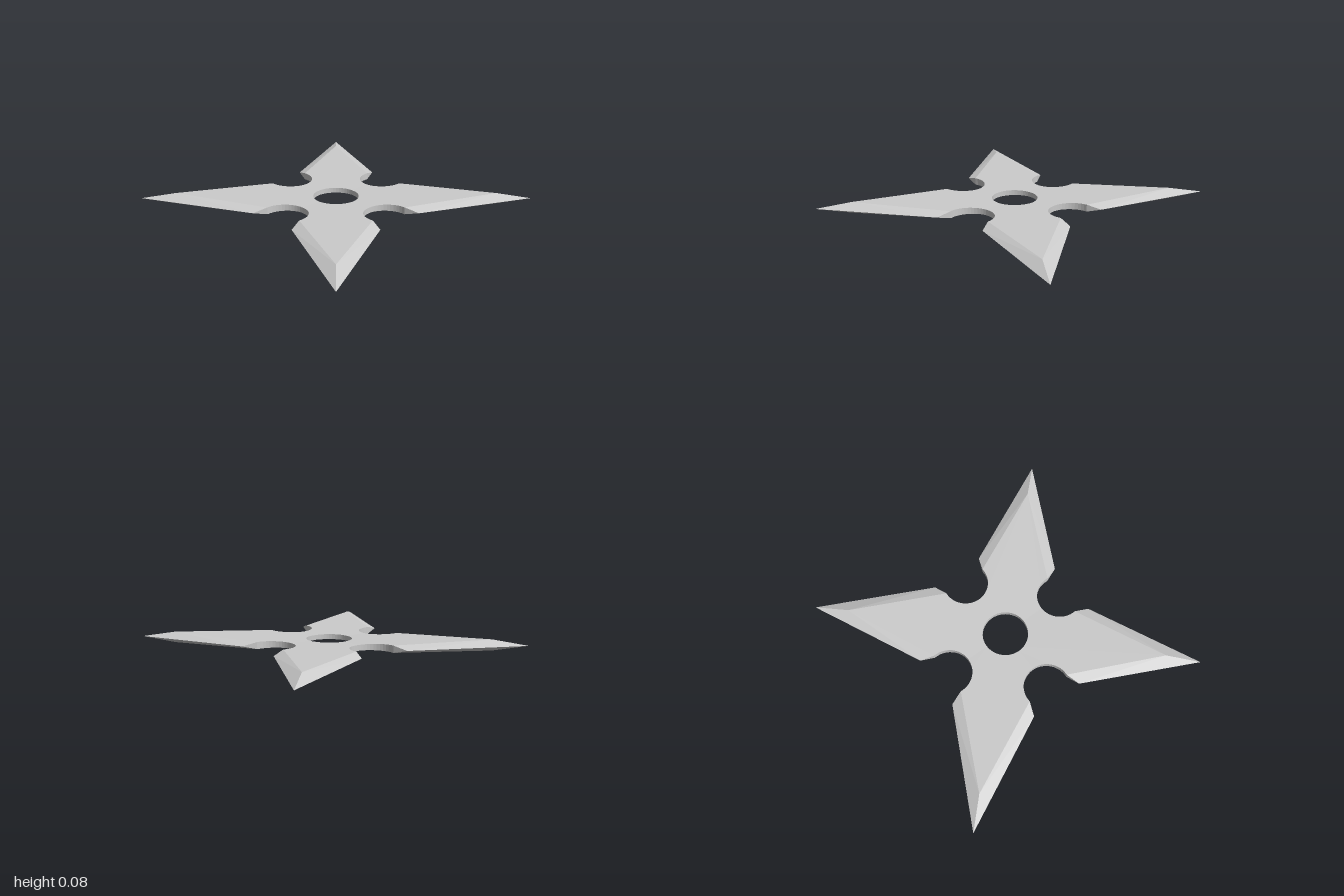
import * as THREE from 'three';

const MID = 0.045;          // height of the cutting edge plane
const HOLE = 0.165;         // radius of the centre hole and of the notches
const NOTCH = 0.495;        // distance of the notch centres from the middle
const SEG = 12;

// Half thickness grows evenly from the hub towards the points
const half = (x, z) => 0.0155 + 0.015 * (x + z);

const arc = (cx, r, a0, a1, n) => Array.from({ length: n + 1 }, (_, i) => {
  const a = a0 + (a1 - a0) * i / n;
  return new THREE.Vector2(cx + r * Math.cos(a), r * Math.sin(a));
});

// One quarter of the star: an arm pointing to +x +z with its share of the hub
function quarterGeometry() {
  const pos = [];
  const tri = (...pts) => pts.forEach(p => pos.push(p.x, p.y, p.z));
  const quad = (a, b, c, d) => { tri(a, b, c); tri(a, c, d); };
  const at = (p, s) => new THREE.Vector3(p.x, MID + s * half(p.x, p.y), p.y);
  const swap = p => new THREE.Vector2(p.y, p.x);

  const notch = arc(NOTCH, HOLE, Math.PI, Math.PI * 0.47, SEG);
  const notch2 = notch.map(swap).reverse();
  const hole = arc(0, HOLE, Math.PI / 2, 0, SEG);
  const peak = new THREE.Vector2(0.82, 0.82);
  const corner = notch[SEG];

  // Upper and lower flat faces
  const outline = [...notch, peak, ...notch2, ...hole];
  for (const [a, b, c] of THREE.ShapeUtils.triangulateShape(outline, [])) {
    tri(at(outline[a], 1), at(outline[c], 1), at(outline[b], 1));
    tri(at(outline[a], -1), at(outline[b], -1), at(outline[c], -1));
  }

  // Upright walls of the notches and the centre hole
  for (const line of [notch, notch2, hole]) {
    for (let i = 0; i < line.length - 1; i++) {
      const p = line[i], q = line[i + 1];
      quad(at(p, 1), at(q, 1), at(q, -1), at(p, -1));
    }
  }

  // Sharpened bevels on both edges, above and below
  const tip = new THREE.Vector3(1, MID, 1);
  const barb = new THREE.Vector3(0.61, MID, 0.2);
  const barb2 = new THREE.Vector3(0.2, MID, 0.61);
  const corner2 = swap(corner);
  quad(at(peak, 1), tip, barb, at(corner, 1));
  quad(at(peak, -1), at(corner, -1), barb, tip);
  quad(at(peak, 1), at(corner2, 1), barb2, tip);
  quad(at(peak, -1), tip, barb2, at(corner2, -1));

  // Barb ends beside the notches
  tri(at(corner, 1), barb, at(corner, -1));
  tri(barb2, at(corner2, 1), at(corner2, -1));

  const g = new THREE.BufferGeometry();
  g.setAttribute('position', new THREE.Float32BufferAttribute(pos, 3));
  g.computeVertexNormals();
  return g;
}

export function createModel() {
  const group = new THREE.Group();
  group.name = 'throwingStar';
  const material = new THREE.MeshStandardMaterial({ color: 0xcccccc, flatShading: true });
  const geometry = quarterGeometry();
  for (let i = 0; i < 4; i++) {
    const blade = new THREE.Mesh(geometry, material);
    blade.name = `blade${i + 1}`;
    blade.rotation.y = i * Math.PI / 2;
    group.add(blade);
  }
  return group;
}
